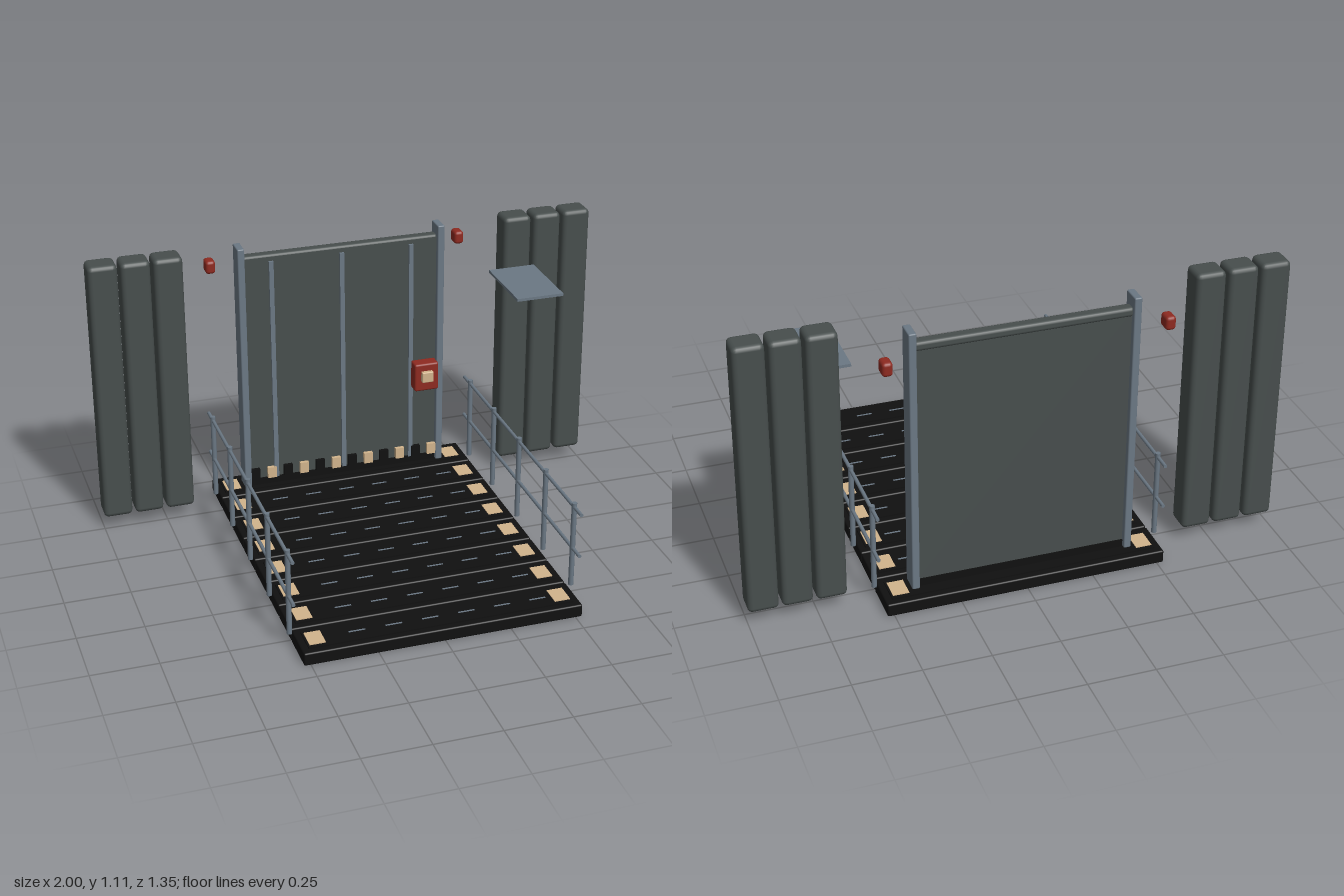
import * as THREE from 'three';
import { RoundedBoxGeometry } from 'three/addons/geometries/RoundedBoxGeometry.js';

const paint = (name, color) => {
  const m = new THREE.MeshStandardMaterial({ color });
  m.name = name;
  return m;
};

export function createModel() {
  const deckBlack = paint('deckBlack', 0x101010);
  const steel = paint('steel', 0x6b7884);
  const darkGrey = paint('darkGrey', 0x474e4d);
  const red = paint('red', 0x8e2a20);
  const tan = paint('tan', 0xd2b48c);

  const root = new THREE.Group();
  root.name = 'gatedPlatform';
  const group = (name) => {
    const g = new THREE.Group();
    g.name = name;
    root.add(g);
    return g;
  };
  const add = (parent, name, geo, mat, x, y, z) => {
    const m = new THREE.Mesh(geo, mat);
    m.name = name;
    m.position.set(x, y, z);
    parent.add(m);
    return m;
  };
  const box = (w, h, d) => new THREE.BoxGeometry(w, h, d);
  const rbox = (w, h, d, r) => new RoundedBoxGeometry(w, h, d, 2, r);

  // Deck: eight planks with raised treads, dashes and end markers
  const deck = group('deck');
  for (let i = 0; i < 8; i++) {
    const z = -0.595 + i * 0.17;
    add(deck, 'plank', rbox(1.05, 0.05, 0.164, 0.006), deckBlack, 0, 0.025, z);
    add(deck, 'tread', box(1.0, 0.006, 0.11), deckBlack, 0, 0.052, z);
    for (const s of [-1, 1])
      add(deck, 'edgeMarker', box(0.06, 0.004, 0.08), tan, s * 0.463, 0.056, z);
    for (let k = 0; k < 6; k++)
      add(deck, 'dash', box(0.062, 0.003, 0.006), steel, -0.307 + k * 0.1375, 0.0555, z);
  }

  // Gate: panel, rails, posts, ribs and hazard blocks
  const gate = group('gate');
  add(gate, 'gatePanel', box(0.79, 0.95, 0.035), darkGrey, 0, 0.555, -0.585);
  add(gate, 'gateTopRail', rbox(0.79, 0.035, 0.045, 0.012), darkGrey, 0, 1.022, -0.59);
  add(gate, 'gateSill', box(0.79, 0.032, 0.043), deckBlack, 0, 0.068, -0.585);
  for (const s of [-1, 1])
    add(gate, 'gatePost', rbox(0.028, 1.025, 0.075, 0.005), steel, s * 0.403, 0.568, -0.586);
  for (const x of [-0.283, 0, 0.283])
    add(gate, 'gateRib', box(0.018, 0.93, 0.012), steel, x, 0.548, -0.564);
  for (let i = 0; i < 12; i++)
    add(gate, 'hazardBlock', box(0.036, 0.046, 0.016), i % 2 ? tan : deckBlack,
      -0.371 + i * 0.0675, 0.107, -0.56);

  // Control box on the gate
  const control = group('controlBox');
  add(control, 'controlCase', rbox(0.1, 0.118, 0.055, 0.008), red, 0.333, 0.458, -0.532);
  add(control, 'controlButton', rbox(0.048, 0.045, 0.025, 0.004), tan, 0.333, 0.464, -0.5);

  // Handrails, warning lamps and side screens, mirrored
  const postGeo = new THREE.CylinderGeometry(0.01, 0.01, 0.342, 10);
  const railGeo = new THREE.CylinderGeometry(0.007, 0.007, 1.222, 10).rotateX(Math.PI / 2);
  for (const s of [-1, 1]) {
    const side = s > 0 ? 'left' : 'right';
    const rail = group(side + 'Handrail');
    for (let i = 0; i < 5; i++)
      add(rail, 'handrailPost', postGeo, steel, s * 0.538, 0.223, 0.533 - i * 0.2715);
    for (const y of [0.207, 0.377])
      add(rail, 'handrailBar', railGeo, steel, s * 0.538, y, -0.011);

    add(root, side + 'WarningLamp', rbox(0.038, 0.052, 0.056, 0.012), red, s * 0.505, 0.99, -0.649);

    const screen = group(side + 'Screen');
    for (let i = 0; i < 3; i++)
      add(screen, 'screenPanel', rbox(0.112, 1.05, 0.1, 0.018), darkGrey,
        s * (0.944 - i * 0.1235), 0.58, -0.53);
  }

  // Canopy plate beside the gate
  add(root, 'canopyPlate', box(0.187, 0.011, 0.305), steel, 0.663, 0.905, -0.302);

  return root;
}
